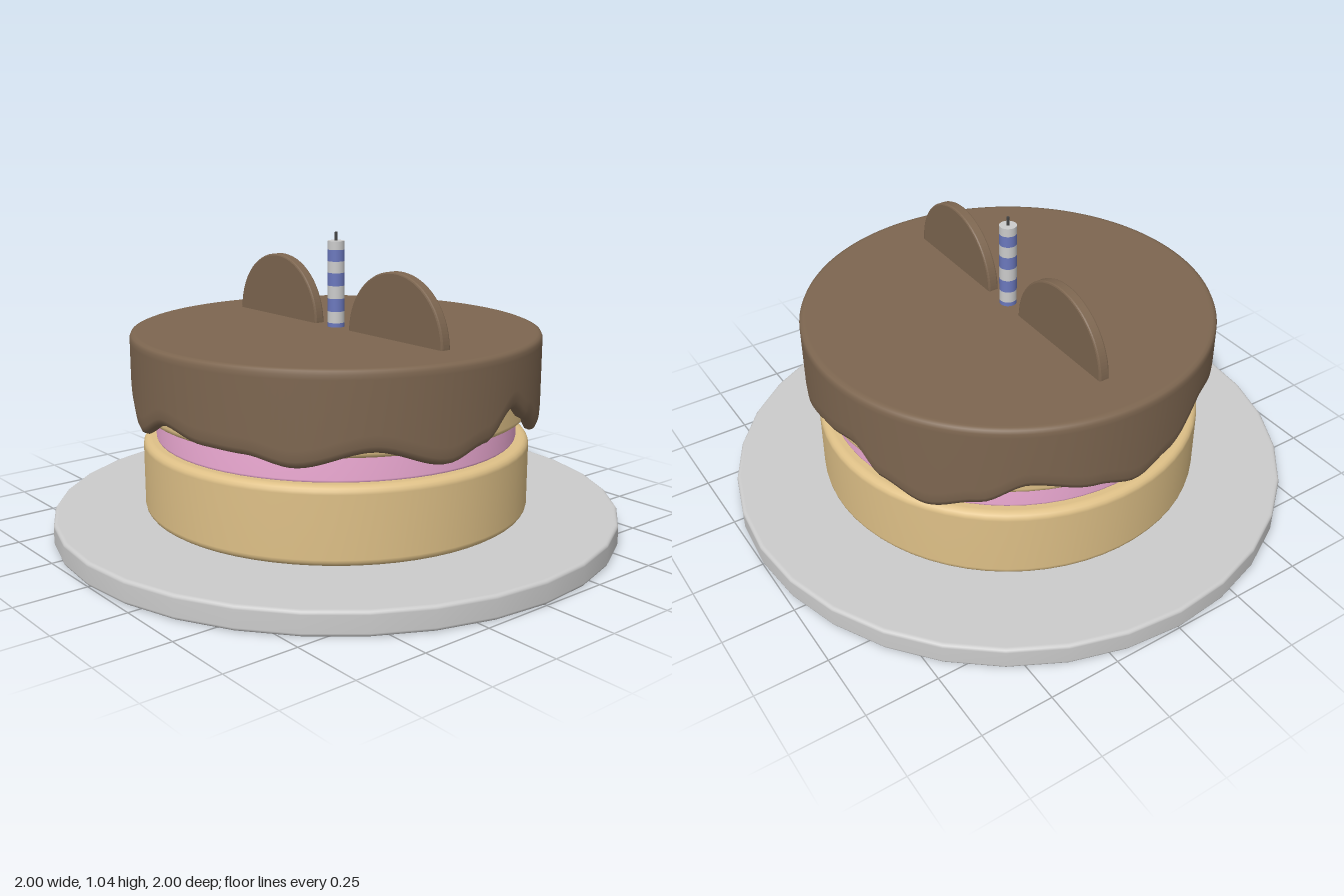
import * as THREE from 'three';

const BROWN = 0x7d6650, SPONGE = 0xdec087, PINK = 0xf0acd6, BLUE = 0x6b78bd, GREY = 0xcccccc;

// Height of the icing's lower edge by angle (degrees from the front towards +x)
const DRIPS = [
  [-145, 0.365], [-131, 0.41], [-118, 0.48], [-100, 0.435], [-88, 0.4], [-76, 0.44], [-60, 0.54],
  [-45, 0.51], [-34, 0.53], [-25, 0.47], [-15, 0.4], [0, 0.465], [15, 0.435], [27, 0.43],
  [40, 0.4], [60, 0.45], [80, 0.39], [92, 0.43], [104, 0.52], [113, 0.46], [122, 0.395],
  [132, 0.405], [148, 0.385], [163, 0.425], [180, 0.47], [192, 0.49], [202, 0.41], [215, 0.365],
];

function dripHeight(deg) {
  const k = Math.max(1, DRIPS.findIndex(d => d[0] >= deg));
  const [a0, y0] = DRIPS[k - 1], [a1, y1] = DRIPS[k];
  const t = (deg - a0) / (a1 - a0);
  return y0 + (y1 - y0) * t * t * (3 - 2 * t);
}

function add(parent, name, geometry, color, y = 0) {
  const mesh = new THREE.Mesh(geometry, new THREE.MeshStandardMaterial({ color }));
  mesh.name = name;
  mesh.position.y = y;
  parent.add(mesh);
  return mesh;
}

// Round slab with softly rounded rims
function disc(radius, y0, y1, bevel, sides) {
  const pts = [new THREE.Vector2(0, y0), new THREE.Vector2(radius - bevel - 0.004, y0)];
  for (const [cy, start] of [[y0 + bevel, -90], [y1 - bevel, 0]]) {
    for (let i = 0; i <= 4; i++) {
      const a = THREE.MathUtils.degToRad(start + i * 22.5);
      pts.push(new THREE.Vector2(radius - bevel + bevel * Math.cos(a), cy + bevel * Math.sin(a)));
    }
  }
  pts.push(new THREE.Vector2(radius - bevel - 0.004, y1), new THREE.Vector2(0, y1));
  return new THREE.LatheGeometry(pts, sides);
}

// Icing shell: one cross-section swept round, its lower edge following the drips
function icingGeometry() {
  const n = 180, pos = [], index = [];
  let rows = 0;
  for (let i = 0; i < n; i++) {
    const deg = -145 + i * 360 / n, a = THREE.MathUtils.degToRad(deg), y = dripHeight(deg);
    const section = [
      [0, 0.71], [0.69, 0.71], [0.7, 0.71], [0.71, 0.706], [0.715, 0.695], [0.715, 0.68],
      [0.715, y + 0.06], [0.713, y + 0.025], [0.705, y + 0.006], [0.69, y],
      [0.675, y + 0.006], [0.665, y + 0.025], [0.66, 0.64],
    ];
    rows = section.length;
    for (const [r, h] of section) pos.push(r * Math.sin(a), h, r * Math.cos(a));
  }
  for (let i = 0; i < n; i++) {
    for (let j = 0; j < rows - 1; j++) {
      const p = i * rows + j, q = ((i + 1) % n) * rows + j;
      if (j > 0) index.push(p, p + 1, q);
      index.push(q, p + 1, q + 1);
    }
  }
  const g = new THREE.BufferGeometry();
  g.setAttribute('position', new THREE.Float32BufferAttribute(pos, 3));
  g.setIndex(index);
  g.computeVertexNormals();
  // The pole vertices have no wide fan on every side, so point them straight up
  for (let i = 0; i < n; i++) g.attributes.normal.setXYZ(i * rows, 0, 1, 0);
  return g;
}

// Half-round chocolate piece standing on the icing
function waferGeometry() {
  const bevel = 0.006, shape = new THREE.Shape();
  shape.absarc(0, 0, 0.23 - bevel, 0, Math.PI, false);
  shape.closePath();
  const g = new THREE.ExtrudeGeometry(shape, {
    depth: 0.026, bevelEnabled: true, bevelSize: bevel, bevelThickness: bevel, bevelSegments: 2, curveSegments: 32,
  });
  return g.translate(0, 0, -0.013);
}

export function createModel() {
  const model = new THREE.Group();
  model.name = 'cake';

  add(model, 'plate', disc(1, 0, 0.08, 0.012, 32), GREY);
  add(model, 'lowerSponge', disc(0.68, 0.08, 0.34, 0.025, 64), SPONGE);
  add(model, 'creamFilling', disc(0.635, 0.335, 0.435, 0.012, 64), PINK);
  add(model, 'upperSponge', disc(0.675, 0.425, 0.69, 0.02, 64), SPONGE);
  add(model, 'icing', icingGeometry(), BROWN);

  for (const side of [-1, 1]) {
    const wafer = add(model, side > 0 ? 'leftWafer' : 'rightWafer', waferGeometry(), BROWN, 0.705);
    wafer.position.x = side * 0.32;
  }

  // Striped candle with its wick
  const candle = new THREE.Group();
  candle.name = 'candle';
  model.add(candle);
  const bands = [0.68, 0.725, 0.765, 0.81, 0.855, 0.9, 0.94, 0.98, 1.01];
  for (let i = 0; i < bands.length - 1; i++) {
    const h = bands[i + 1] - bands[i];
    add(candle, 'candleBand', new THREE.CylinderGeometry(0.03, 0.03, h, 24), i % 2 ? GREY : BLUE, bands[i] + h / 2);
  }
  // Bottom two bands start just under the icing
  add(candle, 'wick', new THREE.CylinderGeometry(0.005, 0.005, 0.04, 8), 0x444444, 1.02);

  return model;
}
